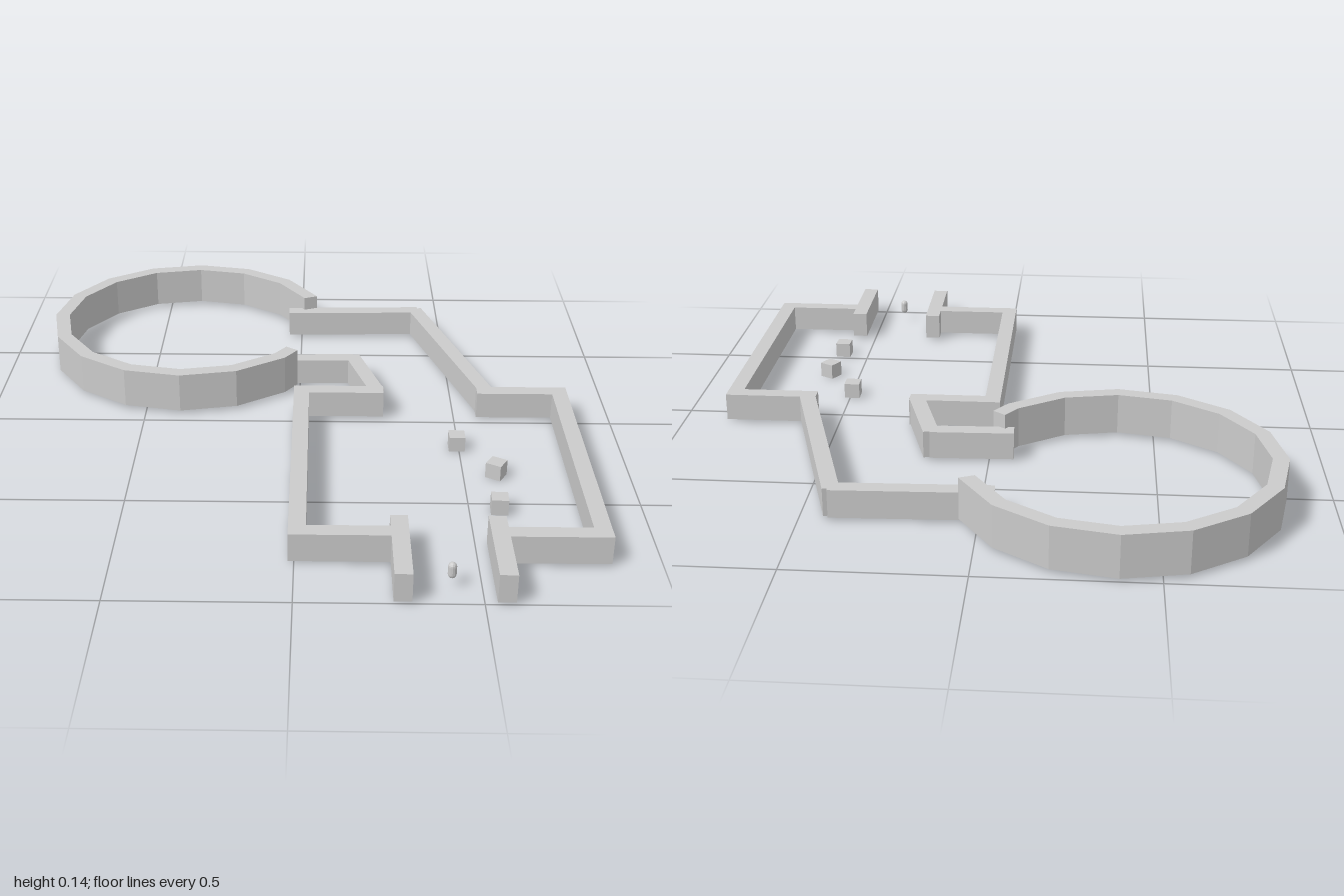
import * as THREE from 'three';

const WALL = 0.049; // wall thickness

export function createModel() {
  const group = new THREE.Group();
  const mat = new THREE.MeshStandardMaterial({ color: 0xcccccc, flatShading: true });

  function add(name, geometry, x, y, z, rotY = 0) {
    const mesh = new THREE.Mesh(geometry, mat);
    mesh.name = name;
    mesh.position.set(x, y, z);
    mesh.rotation.y = rotY;
    group.add(mesh);
  }

  // Straight wall along a centre line on the floor plan
  function wall(name, x1, z1, x2, z2) {
    const dx = x2 - x1, dz = z2 - z1;
    const geometry = new THREE.BoxGeometry(Math.hypot(dx, dz), 0.085, WALL);
    add(name, geometry, (x1 + x2) / 2, 0.053, (z1 + z2) / 2, -Math.atan2(dz, dx));
  }

  // Square room, mirrored about its own middle line
  const mid = 0.422;
  for (const s of [-1, 1]) {
    const side = s < 0 ? 'right' : 'left';
    const at = (d) => mid + s * d;
    wall(side + 'RoomSideWall', at(0.414), -0.074, at(0.414), 0.817);
    wall(side + 'RoomBackWall', at(0.15), -0.05, at(0.4385), -0.05);
    wall(side + 'RoomFrontWall', at(0.112), 0.793, at(0.4385), 0.793);
    wall(side + 'EntranceWall', at(0.135), 0.713, at(0.135), 1.0);
  }

  // Bent corridor from the room to the round chamber
  wall('innerCorridorWall', 0.175, -0.308, 0.25, -0.05);
  wall('innerCorridorEnd', -0.074, -0.284, 0.18, -0.291);
  wall('outerCorridorWall', 0.408, -0.705, 0.6, -0.06);
  wall('outerCorridorEnd', -0.045, -0.681, 0.418, -0.695);

  // Round chamber: sixteen-sided ring left open towards the corridor
  const polar = (a, r) => new THREE.Vector2(r * Math.cos(a), r * Math.sin(a));
  const step = Math.PI / 8;
  const ends = { angle: 0.634, scale: 0.985 }; // cut partway along a side
  const outline = (r) => {
    const points = [polar(ends.angle, r * ends.scale)];
    for (let i = 2; i <= 15; i++) points.push(polar(i * step, r));
    return points;
  };
  const ring = new THREE.ExtrudeGeometry(
    new THREE.Shape([...outline(0.477), ...outline(0.429).reverse()]),
    { depth: 0.127, bevelEnabled: false }
  );
  ring.rotateX(Math.PI / 2);
  add('roundChamberWall', ring, -0.387, 0.141, -0.525);

  // Loose crates on the room floor
  const crate = new THREE.BoxGeometry(0.049, 0.049, 0.049);
  [[0.493, 0.167, 0], [0.598, 0.337, -0.53], [0.586, 0.538, -0.04]].forEach(([x, z, r], i) =>
    add('crate' + (i + 1), crate, x, 0.028, z, r));

  // Small capsule standing in the entrance
  add('entranceCapsule', new THREE.CapsuleGeometry(0.012, 0.024, 4, 12), 0.419, 0.056, 0.92);

  return group;
}
